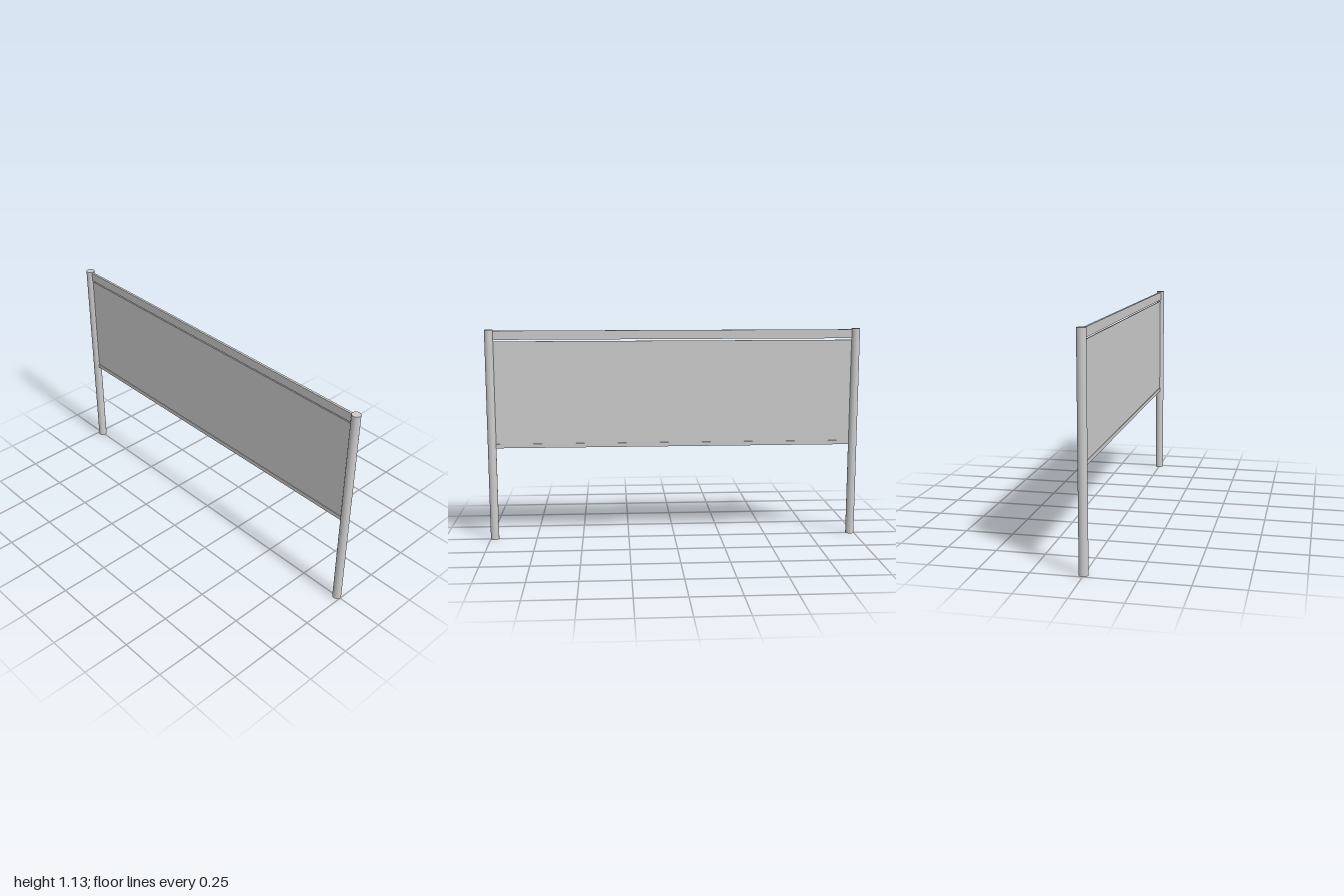
import * as THREE from 'three';

export function createModel() {
  const group = new THREE.Group();
  const material = new THREE.MeshStandardMaterial({ color: 0xcccccc });
  const radius = 0.0225, height = 1.133, postZ = 1 - radius;

  const add = (name, geometry, y, z = 0) => {
    const mesh = new THREE.Mesh(geometry, material);
    mesh.name = name;
    mesh.position.set(0, y, z);
    group.add(mesh);
  };

  // Round posts at both ends
  for (const [name, side] of [['frontPost', 1], ['backPost', -1]]) {
    add(name, new THREE.CylinderGeometry(radius, radius, height, 32), height / 2, side * postZ);
  }

  // Flat boards between the posts, ends sunk slightly into them
  const board = (name, bottom, top, thickness) =>
    add(name, new THREE.BoxGeometry(thickness, top - bottom, 2 * postZ - radius), (bottom + top) / 2);

  board('topRail', 1.081, 1.128, 0.012);
  board('panel', 0.524, 1.072, 0.006);
  board('bottomRail', 0.502, 0.524, 0.012);

  return group;
}
